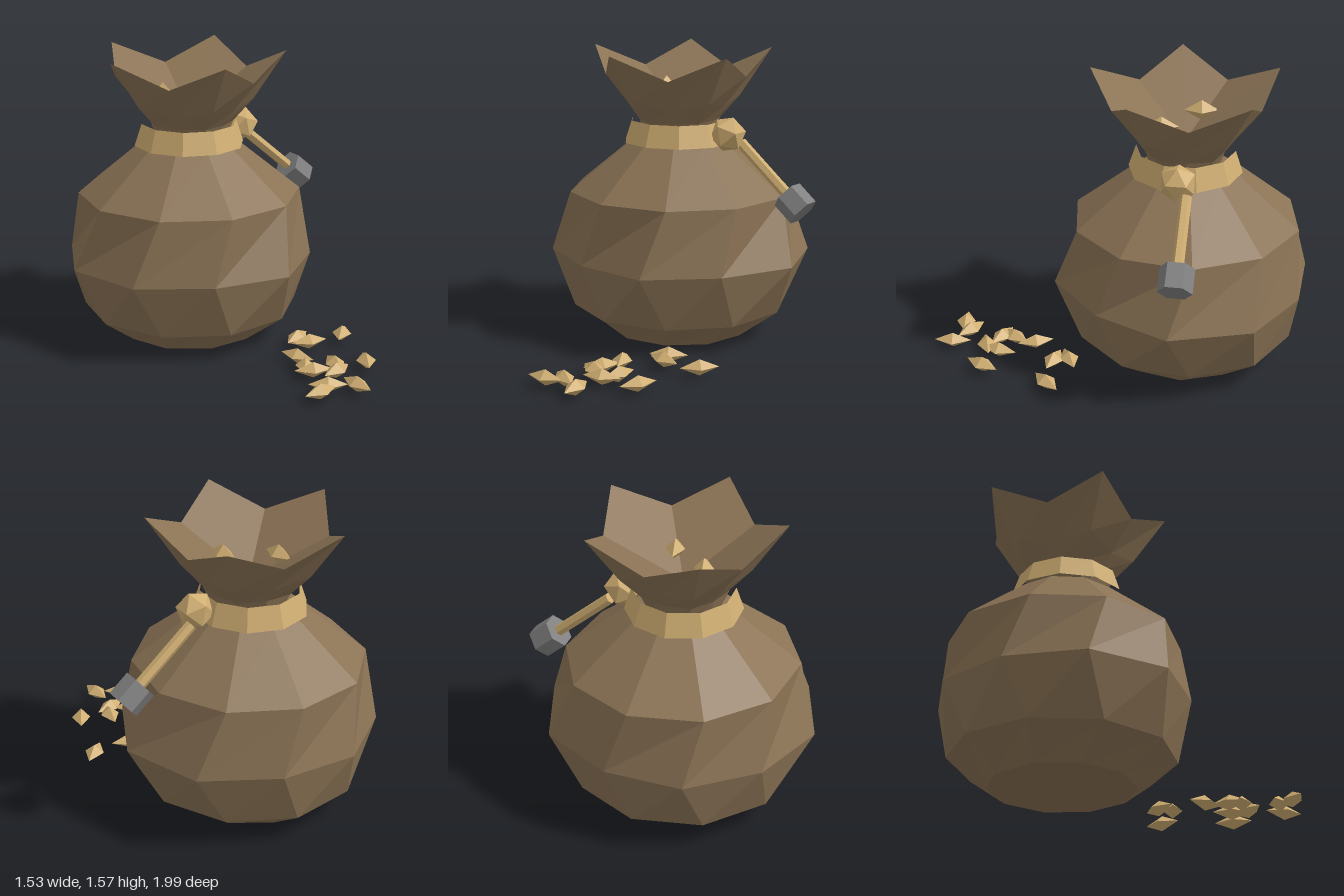
import * as THREE from 'three';

const CX = -0.05, CZ = -0.36;
const mat = (name, color) =>
  new THREE.MeshStandardMaterial({ name, color, flatShading: true });

// A ring of points around the sack's axis; radius and height may vary by index
function ring(n, r, y, turn) {
  return Array.from({ length: n }, (_, i) => {
    const a = THREE.MathUtils.degToRad(turn + i * 360 / n);
    const rad = typeof r === 'number' ? r : r[i % r.length];
    const h = typeof y === 'number' ? y : y[i % y.length];
    return new THREE.Vector3(CX + rad * Math.cos(a), h, CZ + rad * Math.sin(a));
  });
}

// Faceted skin through a list of rings
function loft(rings) {
  const pts = [];
  for (let k = 0; k + 1 < rings.length; k++) {
    const lo = rings[k], hi = rings[k + 1], n = lo.length;
    for (let i = 0; i < n; i++) {
      const j = (i + 1) % n;
      for (const t of [[lo[i], hi[i], lo[j]], [lo[j], hi[i], hi[j]]]) {
        const distinct = t[0].distanceTo(t[1]) > 1e-6 && t[1].distanceTo(t[2]) > 1e-6 && t[0].distanceTo(t[2]) > 1e-6;
        if (distinct) pts.push(...t);
      }
    }
  }
  const g = new THREE.BufferGeometry().setFromPoints(pts);
  g.computeVertexNormals();
  return g;
}

export function createModel() {
  const model = new THREE.Group();
  model.name = 'grainSack';
  const cloth = mat('brown cloth', 0x8b7355);
  const gold = mat('straw gold', 0xd0ae72);
  const iron = mat('grey metal', 0x808080);
  const add = (name, geo, material, parent = model) => {
    const m = new THREE.Mesh(geo, material);
    m.name = name;
    parent.add(m);
    return m;
  };

  // Round ten-sided sack body, closed at both ends
  const belly = [0.73, 0.67, 0.71, 0.66, 0.71, 0.71, 0.67, 0.675, 0.66, 0.72];
  add('sackBody', loft([
    ring(10, 0, 0, 0),
    ring(10, 0.385, 0, -5),
    ring(10, 0.59, 0.15, -10),
    ring(10, belly, 0.45, 0),
    ring(10, 0.61, 0.795, -10),
    ring(10, 0.27, 1.07, -10),
    ring(10, 0, 1.1, 0),
  ]), cloth);

  // Flared mouth with five points, folded over into a shallow bowl
  const mouth = add('sackMouth', loft([
    ring(10, 0.18, 1.07, 27),
    ring(10, [0.235, 0.215], 1.19, 27),
    ring(10, [0.345, 0.27], [1.31, 1.27], 27),
    ring(10, [0.52, 0.4], [1.57, 1.44], 27),
    ring(10, 0, 1.225, 27),
  ]), cloth);
  mouth.position.z = 0.015;

  // Neck band
  const band = add('neckBand', new THREE.CylinderGeometry(0.262, 0.302, 0.12, 10, 1, true), gold);
  band.position.set(-0.055, 1.125, -0.35);

  // Knot on the band
  const knot = add('knot', new THREE.IcosahedronGeometry(0.1, 0), gold);
  knot.position.set(0.27, 1.13, -0.35);
  knot.rotation.z = 0.2;

  // Hanging stick with a hexagonal metal head
  const hammer = new THREE.Group();
  hammer.name = 'hangingMallet';
  hammer.position.set(0.667, 0.793, -0.4);
  hammer.rotation.z = Math.atan2(0.32, 0.27);
  model.add(hammer);
  const stick = add('stick', new THREE.CylinderGeometry(0.03, 0.03, 0.42, 6), gold, hammer);
  stick.position.y = 0.24;
  add('malletHead', new THREE.CylinderGeometry(0.088, 0.088, 0.132, 6), iron, hammer);

  // Grains: x, y, z and the ground direction of the long axis (dx, dz)
  const grains = [
    [0.29, 0.05, 0.22, 2, -1], [0.315, 0.05, 0.3, 5, 1], [0.535, 0.05, 0.295, 1, -1],
    [0.15, 0.05, 0.435, 1, 2.3], [0.115, 0.05, 0.56, 1, -1.5], [0.12, 0.05, 0.63, 2.5, 1],
    [0.265, 0.05, 0.615, 1, -5], [0.22, 0.05, 0.695, 3, -1], [0.425, 0.05, 0.67, 1, -2],
    [0.08, 0.05, 0.82, 1.7, 1], [0, 0.05, 0.87, 8, -1], [0.21, 0.05, 0.89, 1, 9],
    [-0.18, 1.35, -0.415, 1, 7], [0.03, 1.33, -0.23, 1, 6],
  ];
  const grainGeo = new THREE.OctahedronGeometry(1, 0).scale(0.102, 0.043, 0.053);
  for (const [x, y, z, dx, dz] of grains) {
    const g = add(y < 1 ? 'spilledGrain' : 'grainInMouth', grainGeo, gold);
    g.position.set(x, y, z);
    g.rotation.y = Math.atan2(-dz, dx);
    if (y > 1) g.scale.set(0.9, 1.3, 0.95);
  }
  return model;
}
